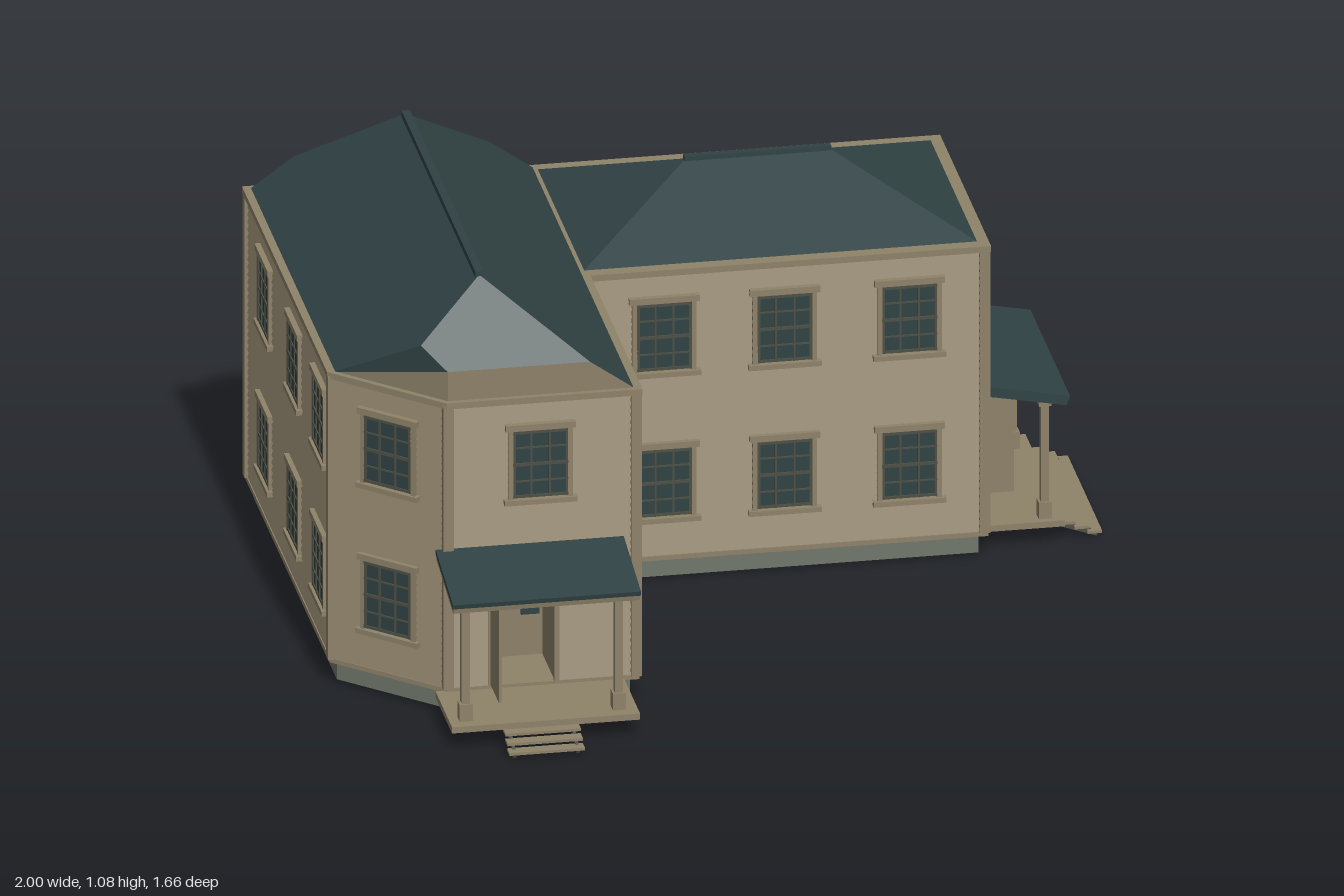
import * as THREE from 'three';

const mat = (name, color, side = THREE.FrontSide) => {
  const m = new THREE.MeshStandardMaterial({ color, side, flatShading: true });
  m.name = name;
  return m;
};

// Footprint of the L-shaped house as [x, z], outward side on the right hand of travel
const PLAN = [[-0.98, -0.81], [-0.98, 0.3], [-0.74, 0.53], [-0.28, 0.53], [-0.28, -0.16], [0.7, -0.16], [0.7, -0.81]];
const WALL_BASE = 0.07, WALL_TOP = 0.82, COURSES = 38, DOOR_COURSES = 14;
const DOOR_TOP = WALL_BASE + (WALL_TOP - WALL_BASE) * DOOR_COURSES / COURSES;
// Doorways as fractions along a plan side
const DOORWAYS = { 2: [0.11 / 0.46, 0.26 / 0.46], 5: [0.215 / 0.65, 0.365 / 0.65] };

// Move every plan corner outward by d with mitred joints
function offsetPlan(d) {
  const n = PLAN.length;
  const normal = (i) => {
    const a = PLAN[i % n], b = PLAN[(i + 1) % n];
    return new THREE.Vector2(a[1] - b[1], b[0] - a[0]).normalize();
  };
  return PLAN.map((p, i) => {
    const m = normal(i + n - 1), k = normal(i), s = d / (1 + m.dot(k));
    return [p[0] + (m.x + k.x) * s, p[1] + (m.y + k.y) * s];
  });
}

function faces(polys) {
  const pos = [];
  polys.forEach((p) => {
    for (let i = 1; i < p.length - 1; i++) pos.push(...p[0], ...p[i], ...p[i + 1]);
  });
  const g = new THREE.BufferGeometry();
  g.setAttribute('position', new THREE.Float32BufferAttribute(pos, 3));
  g.computeVertexNormals();
  return g;
}

export function createModel() {
  const house = new THREE.Group();
  house.name = 'house';
  const wall = mat('siding', 0x8c8067, THREE.DoubleSide);
  const trim = mat('trim', 0x8e8269);
  const roof = mat('roof slate', 0x304244, THREE.DoubleSide);
  const glass = mat('glass', 0x2f4142);
  const muntin = mat('glazing bar', 0x4d5046);
  const stone = mat('foundation stone', 0x70776a);

  const add = (parent, name, geo, material) => {
    const m = new THREE.Mesh(geo, material);
    m.name = name;
    parent.add(m);
    return m;
  };
  const box = (parent, name, material, w, h, d, x, y, z) => {
    const m = add(parent, name, new THREE.BoxGeometry(w, h, d), material);
    m.position.set(x, y, z);
    return m;
  };
  // Group standing at a wall point with local +z pointing outward
  const onWall = (name, x, z, ry) => {
    const g = new THREE.Group();
    g.name = name;
    g.position.set(x, 0, z);
    g.rotation.y = ry;
    house.add(g);
    return g;
  };
  const slab = (name, material, d, y0, y1) => {
    const shape = new THREE.Shape(offsetPlan(d).map(([x, z]) => new THREE.Vector2(x, -z)));
    const g = new THREE.ExtrudeGeometry(shape, { depth: y1 - y0, bevelEnabled: false });
    add(house, name, g.rotateX(-Math.PI / 2).translate(0, y0, 0), material);
  };

  // Foundation, water table and eaves
  slab('foundation', stone, -0.012, 0.01, 0.062);
  slab('waterTable', trim, 0.008, 0.06, 0.072);
  slab('cornice', trim, 0.014, 0.808, 0.824);

  // Lapped siding, leaving the two doorways open
  const inner = PLAN, outer = offsetPlan(0.006), siding = [];
  const step = (WALL_TOP - WALL_BASE) / COURSES;
  for (let c = 0; c < COURSES; c++) {
    const y = WALL_BASE + c * step;
    PLAN.forEach((_, i) => {
      const j = (i + 1) % PLAN.length, gap = c < DOOR_COURSES && DOORWAYS[i];
      const spans = gap ? [[0, gap[0]], [gap[1], 1]] : [[0, 1]];
      const at = (ring, u, h) => [
        ring[i][0] + (ring[j][0] - ring[i][0]) * u, h, ring[i][1] + (ring[j][1] - ring[i][1]) * u];
      spans.forEach(([a, b]) => {
        siding.push([at(outer, a, y), at(outer, b, y), at(inner, b, y + step), at(inner, a, y + step)]);
        siding.push([at(inner, a, y), at(inner, b, y), at(outer, b, y), at(outer, a, y)]);
      });
    });
  }
  add(house, 'siding', faces(siding), wall);

  // Clipped gable walls above the eaves
  add(house, 'gables', faces([
    [[-0.74, 0.82, 0.53], [-0.28, 0.82, 0.53], [-0.392, 0.9, 0.53], [-0.74, 0.9, 0.53]],
    [[-0.98, 0.82, 0.3], [-0.74, 0.82, 0.53], [-0.74, 0.9, 0.53]],
    [[-0.28, 0.82, -0.81], [-0.98, 0.82, -0.81], [-0.868, 0.9, -0.81], [-0.392, 0.9, -0.81]],
  ]), wall);

  // Long wing roof with clipped ends
  const rf = [-0.63, 1.07, 0.35], rb = [-0.63, 1.07, -0.63], cut = [-0.796, 0.951, 0.476];
  const fl = [-0.74, 0.9, 0.53], fr = [-0.392, 0.9, 0.53], bl = [-0.868, 0.9, -0.81], br = [-0.392, 0.9, -0.81];
  add(house, 'longRoof', faces([
    [[-0.98, 0.82, 0.3], cut, rf, rb, bl, [-0.98, 0.82, -0.81]],
    [[-0.28, 0.82, 0.53], [-0.28, 0.82, -0.81], br, rb, rf, fr],
    [rf, cut, fl, fr],
    [rb, br, bl],
    [[-0.98, 0.82, 0.3], fl, cut],
  ]), roof);
  box(house, 'longRidge', roof, 0.02, 0.016, 0.98, -0.63, 1.072, -0.137);

  // Short wing hip roof
  const a = [-0.28, 0.822, -0.175], b = [0.69, 0.822, -0.175], c = [0.69, 0.822, -0.8], d = [-0.28, 0.822, -0.8];
  const r0 = [0.03, 0.96, -0.49], r1 = [0.38, 0.96, -0.49];
  add(house, 'shortRoof', faces([[a, b, r1, r0], [b, c, r1], [c, d, r0, r1], [d, a, r0]]), roof);
  box(house, 'shortRidge', roof, 0.36, 0.012, 0.018, 0.205, 0.963, -0.49);

  // Corner boards
  [...PLAN, [-0.28, -0.81]].forEach(([x, z]) =>
    box(house, 'cornerBoard', trim, 0.026, 0.745, 0.026, x, 0.442, z));

  // Sash windows
  const W = 0.135, H = 0.175;
  const addWindow = (x, z, ry, y) => {
    const g = onWall('window', x, z, ry);
    box(g, 'pane', glass, W, H, 0.008, 0, y, 0.006);
    for (const s of [-1, 1]) {
      box(g, 'jamb', trim, 0.012, H + 0.02, 0.014, s * (W / 2 + 0.005), y, 0.006);
      box(g, 'glazingBar', muntin, 0.005, H, 0.006, s * W / 6, y, 0.01);
      box(g, 'glazingBar', muntin, W, 0.004, 0.006, 0, y + s * H / 4, 0.01);
      box(g, 'sashRail', muntin, W, 0.007, 0.006, 0, y + s * (H / 2 - 0.004), 0.01);
      box(g, 'sashStile', muntin, 0.007, H, 0.006, s * (W / 2 - 0.004), y, 0.01);
    }
    box(g, 'meetingRail', muntin, W, 0.008, 0.007, 0, y, 0.01);
    box(g, 'head', trim, 0.172, 0.016, 0.018, 0, y + H / 2 + 0.01, 0.008);
    box(g, 'sill', trim, 0.178, 0.013, 0.022, 0, y - H / 2 - 0.01, 0.008);
  };
  const UP = 0.648, LOW = 0.265, Q = Math.PI / 2;
  const row = (list, y, place) => list.forEach((v) => addWindow(...place(v), y));
  const frontWall = (v) => [v, -0.16, 0], backWall = (v) => [v, -0.81, Math.PI];
  const leftWall = (v) => [-0.98, v, -Q], courtWall = (v) => [-0.28, v, Q], endWall = (v) => [0.7, v, Q];
  for (const y of [UP, LOW]) {
    row([-0.085, 0.21, 0.515], y, frontWall);
    row([-0.47, -0.785], y, backWall);
    row([-0.555, -0.165, 0.17], y, leftWall);
    addWindow(-0.86, 0.415, Math.atan2(-0.23, 0.24), y);
  }
  row([-0.15, 0.09, 0.33, 0.56], UP, backWall);
  row([-0.11, 0.215, 0.52], LOW, backWall);
  row([0.305, 0.13, -0.045], UP, courtWall);
  row([0.305, 0.015], LOW, courtWall);
  row([-0.335, -0.635], UP, endWall);
  addWindow(-0.515, 0.53, 0, UP);

  // Porch with posts, lean-to roof, open steps, doorway and open door
  const addPorch = (name, x, z, ry, o) => {
    const g = onWall(name, x, z, ry), D = o.depth;
    box(g, 'porchFloor', trim, o.width, 0.016, D, 0, 0.056, D / 2);
    const drop = o.top - 0.378, len = Math.hypot(D + 0.01, drop);
    const cover = new THREE.Group();
    cover.name = 'porchRoof';
    cover.position.set(0, (o.top + 0.378) / 2, (D + 0.01) / 2);
    cover.rotation.x = Math.atan2(drop, D + 0.01);
    g.add(cover);
    box(cover, 'slates', roof, o.width, 0.012, len, 0, 0.006, 0);
    box(cover, 'soffit', o.soffit, o.width - 0.004, 0.014, len - 0.004, 0, -0.007, 0);
    for (const s of o.posts) {
      box(g, 'post', trim, 0.02, 0.31, 0.02, s, 0.22, D - 0.045);
      box(g, 'postBase', trim, 0.032, 0.045, 0.032, s, 0.085, D - 0.045);
      box(g, 'postCap', trim, 0.03, 0.014, 0.03, s, 0.366, D - 0.045);
    }
    const run = o.reach - D;
    for (let i = 0; i < 3; i++)
      box(g, 'tread', trim, o.stepWidth, 0.007, run / 3 + 0.004, o.stepX, 0.045 - i * 0.014, D + run * (i + 0.5) / 3 - 0.002);
    for (const s of [-1, 1]) {
      const st = box(g, 'stringer', muntin, 0.008, 0.013, run, o.stepX + s * (o.stepWidth / 2 - 0.015), 0.024, D + run / 2 - 0.006);
      st.rotation.x = Math.atan2(0.034, run);
    }
    // Hall seen through the doorway
    const h = DOOR_TOP - WALL_BASE, my = WALL_BASE + h / 2;
    box(g, 'hallBack', wall, 0.17, h, 0.005, -0.015, my, -0.16);
    box(g, 'hallCeiling', wall, 0.17, 0.005, 0.16, -0.015, DOOR_TOP + 0.002, -0.08);
    for (const s of [-1, 1]) {
      box(g, 'hallSide', wall, 0.005, h, 0.16, -0.015 + s * 0.078, my, -0.08);
      box(g, 'doorJamb', trim, 0.012, h, 0.016, -0.015 + s * 0.08, my, 0.004);
    }
    box(g, 'doorHead', trim, 0.18, 0.016, 0.02, -0.015, DOOR_TOP + 0.006, 0.006);
    box(g, 'door', trim, 0.008, 0.262, o.leaf, -0.094, 0.208, o.leaf / 2 + 0.005);
    if (o.stairs) {
      for (let i = 0; i < 8; i++) {
        box(g, 'stair', trim, 0.07, 0.008, 0.02, 0.018, 0.085 + i * 0.024, -0.06 - i * 0.011);
        box(g, 'stairRiser', muntin, 0.066, 0.012, 0.004, 0.018, 0.095 + i * 0.024, -0.065 - i * 0.011);
      }
      box(g, 'stairWell', glass, 0.075, 0.07, 0.006, 0.018, 0.305, -0.152);
    } else {
      box(g, 'hallWindow', glass, 0.045, 0.15, 0.006, 0.03, 0.255, -0.156);
      box(g, 'hallLamp', muntin, 0.02, 0.07, 0.02, -0.06, 0.29, -0.1);
    }
  };
  addPorch('frontPorch', -0.54, 0.53, 0, {
    width: 0.46, depth: 0.22, top: 0.425, posts: [-0.19, 0.185], soffit: trim,
    stepWidth: 0.185, stepX: -0.012, reach: 0.3, leaf: 0.12, stairs: false });
  addPorch('sidePorch', 0.7, -0.465, Q, {
    width: 0.525, depth: 0.205, top: 0.42, posts: [-0.23, 0.195], soffit: roof,
    stepWidth: 0.455, stepX: -0.012, reach: 0.3, leaf: 0.105, stairs: true });

  return house;
}
